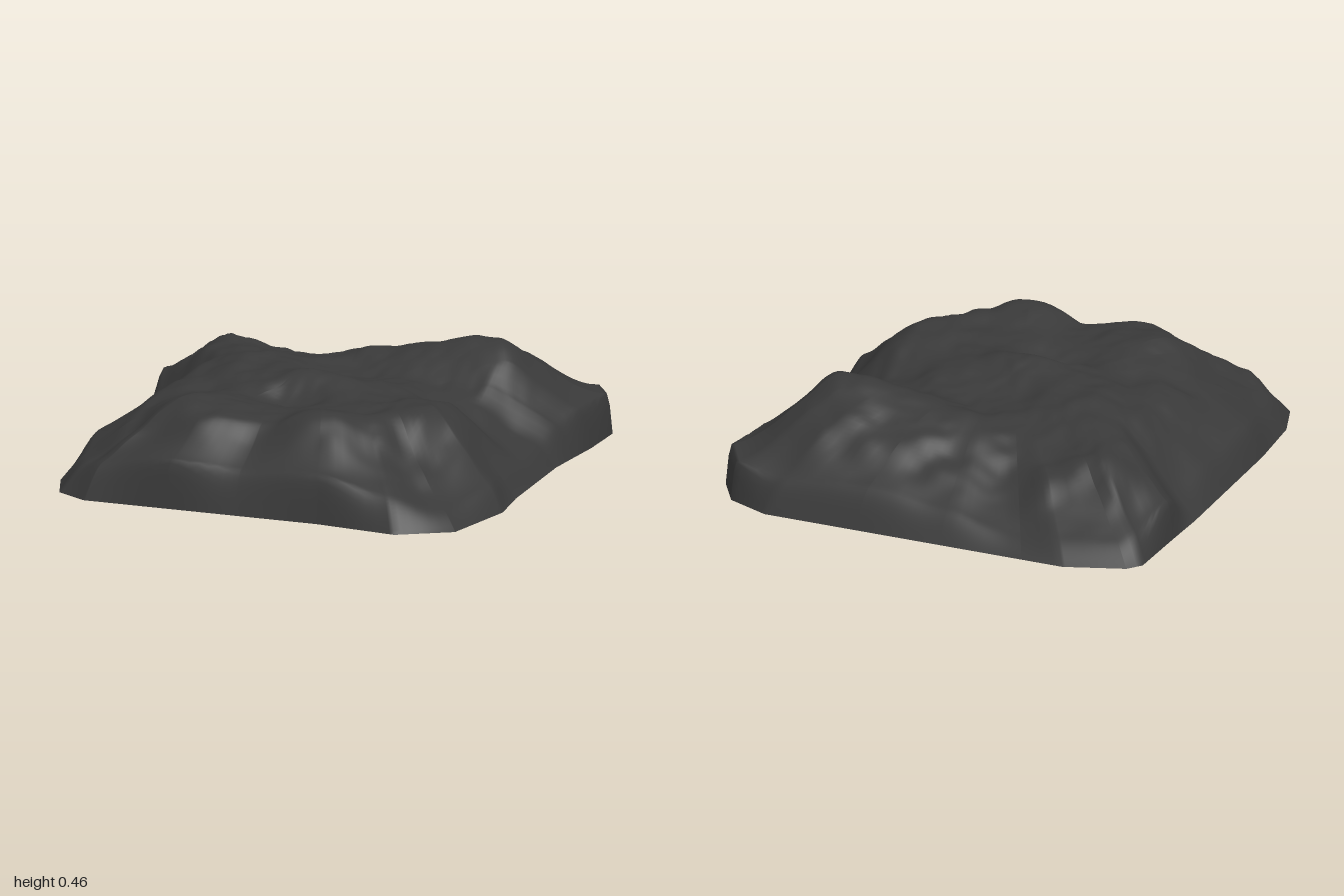
import * as THREE from 'three';
import { mergeVertices } from 'three/addons/utils/BufferGeometryUtils.js';

const { lerp, smoothstep } = THREE.MathUtils;

// footprint going round from +x through +z:
// x, z, height of the rim wall, width of the wall, width of the slope behind it
const RIM = [
  [0.95, -0.2, 0.08, 0.1, 0.45], [0.95, 0.3, 0.05, 0.1, 0.45], [0.97, 0.52, 0.09, 0.08, 0.45],
  [0.88, 0.87, 0.05, 0.1, 0.58], [0.65, 1, 0.11, 0.1, 0.45], [0.28, 0.96, 0.19, 0.06, 0.28],
  [-0.1, 0.96, 0.16, 0.08, 0.32], [-0.4, 0.96, 0.2, 0.04, 0.27], [-0.78, 0.96, 0.14, 0.08, 0.35],
  [-0.92, 0.88, 0.09, 0.1, 0.45], [-0.98, 0.7, 0.08, 0.1, 0.45], [-1, 0.4, 0.12, 0.08, 0.42],
  [-1, 0, 0.09, 0.1, 0.43], [-1, -0.33, 0.04, 0.1, 0.46], [-0.99, -0.55, 0.16, 0.03, 0.38],
  [-0.98, -0.85, 0.08, 0.08, 0.38], [-0.93, -0.91, 0.06, 0.08, 0.42], [-0.67, -1, 0.06, 0.1, 0.48],
  [-0.48, -1, 0.04, 0.1, 0.53], [-0.1, -1, 0.1, 0.1, 0.45], [0.3, -1, 0.14, 0.1, 0.38],
  [0.72, -1, 0.12, 0.08, 0.38], [0.91, -0.92, 0.17, 0.02, 0.4], [1, -0.77, 0.18, 0.02, 0.4],
  [0.99, -0.53, 0.17, 0.05, 0.35], [0.97, -0.37, 0.12, 0.08, 0.38],
];
// hills and hollows: x, z, height, width in x, width in z
const BUMPS = [
  [0.54, -0.47, 0.125, 0.24, 0.16], [0.2, -0.46, 0.05, 0.25, 0.13], [0.66, -0.06, -0.09, 0.25, 0.15],
  [0.2, 0.68, 0.08, 0.18, 0.16], [0.5, 0.4, 0.03, 0.15, 0.2], [-0.4, 0.55, 0.045, 0.16, 0.2],
  [-0.1, 0.29, -0.05, 0.17, 0.09], [-0.03, 0.12, 0.06, 0.2, 0.12], [-0.38, -0.12, 0.045, 0.2, 0.2],
  [-0.35, -0.6, -0.04, 0.25, 0.2], [0.25, -0.22, -0.03, 0.25, 0.1], [-0.05, 0.75, -0.03, 0.1, 0.15],
  [-0.75, 0.35, -0.03, 0.18, 0.35],
];

function hash(i, j) {
  const s = Math.sin(i * 127.1 + j * 311.7) * 43758.5453;
  return (s - Math.floor(s)) * 2 - 1;
}

// smooth value noise in -1..1
function noise(x, z) {
  const i = Math.floor(x), j = Math.floor(z);
  const u = smoothstep(x - i, 0, 1), v = smoothstep(z - j, 0, 1);
  return lerp(lerp(hash(i, j), hash(i + 1, j), u), lerp(hash(i, j + 1), hash(i + 1, j + 1), u), v);
}

// where a direction from the centre meets the footprint, with the wall and slope there
function rimAt(dx, dz) {
  for (let k = 0; k < RIM.length; k++) {
    const [ax, az, ...sideA] = RIM[k], [bx, bz, ...sideB] = RIM[(k + 1) % RIM.length];
    const ex = bx - ax, ez = bz - az, det = dx * ez - dz * ex;
    const reach = (ax * ez - az * ex) / det, t = (ax * dz - az * dx) / det;
    if (reach > 0 && t >= -1e-6 && t <= 1 + 1e-6) {
      const [wall, ramp, width] = sideA.map((v, n) => lerp(v, sideB[n], smoothstep(t, 0, 1)));
      return { reach, wall, ramp, width };
    }
  }
}

function height(x, z, inset, rim) {
  let top = 0.345;
  for (const [bx, bz, h, wx, wz] of BUMPS) {
    top += h * Math.exp(-(((x - bx) / wx) ** 2) - ((z - bz) / wz) ** 2);
  }
  top += 0.022 * noise(x * 4 + 3, z * 4) + 0.012 * noise(x * 9, z * 9 + 5) + 0.005 * noise(x * 19, z * 19);
  const wobble = 1 + 0.12 * noise(x * 4 + 9, z * 4 + 2) + 0.08 * noise(x * 9 + 1, z * 9);
  const climb = smoothstep(inset * wobble, 0, rim.width);
  const foot = Math.sin(Math.min(1, inset / rim.ramp) * Math.PI / 2);
  return Math.min(0.465, lerp(rim.wall * foot, top, climb));
}

export function createModel() {
  const group = new THREE.Group();
  group.name = 'rockMound';

  // rings of points from the centre out to the rim, closer together on the sides
  const rings = 60;
  const angles = RIM.map(([x, z]) => Math.atan2(z, x));
  for (let k = 0; k < 162; k++) angles.push((k / 162) * Math.PI * 2 - Math.PI);
  angles.sort((a, b) => a - b);
  const sides = angles.length;
  const rims = angles.map((a) => rimAt(Math.cos(a), Math.sin(a)));
  const points = [], faces = [];
  for (let i = 0; i <= rings; i++) {
    const t = i / rings, s = 1.4 * t - 0.4 * t * t;
    angles.forEach((a, j) => {
      const x = Math.cos(a) * rims[j].reach * s, z = Math.sin(a) * rims[j].reach * s;
      points.push(x, height(x, z, 1 - s, rims[j]), z);
    });
  }
  for (let i = 0; i < rings; i++) {
    for (let j = 0; j < sides; j++) {
      const k = (j + 1) % sides;
      const a = i * sides + j, b = a + sides, c = (i + 1) * sides + k, d = i * sides + k;
      faces.push(a, c, b);
      if (i > 0) faces.push(a, d, c);
    }
  }
  let geometry = new THREE.BufferGeometry();
  geometry.setAttribute('position', new THREE.Float32BufferAttribute(points, 3));
  geometry.setIndex(faces);
  geometry = mergeVertices(geometry, 1e-5);
  geometry.computeVertexNormals();

  // open shell, hollow underneath
  const rock = new THREE.Mesh(geometry, new THREE.MeshStandardMaterial({ color: 0x393939, side: THREE.DoubleSide }));
  rock.name = 'rock';
  group.add(rock);
  return group;
}
